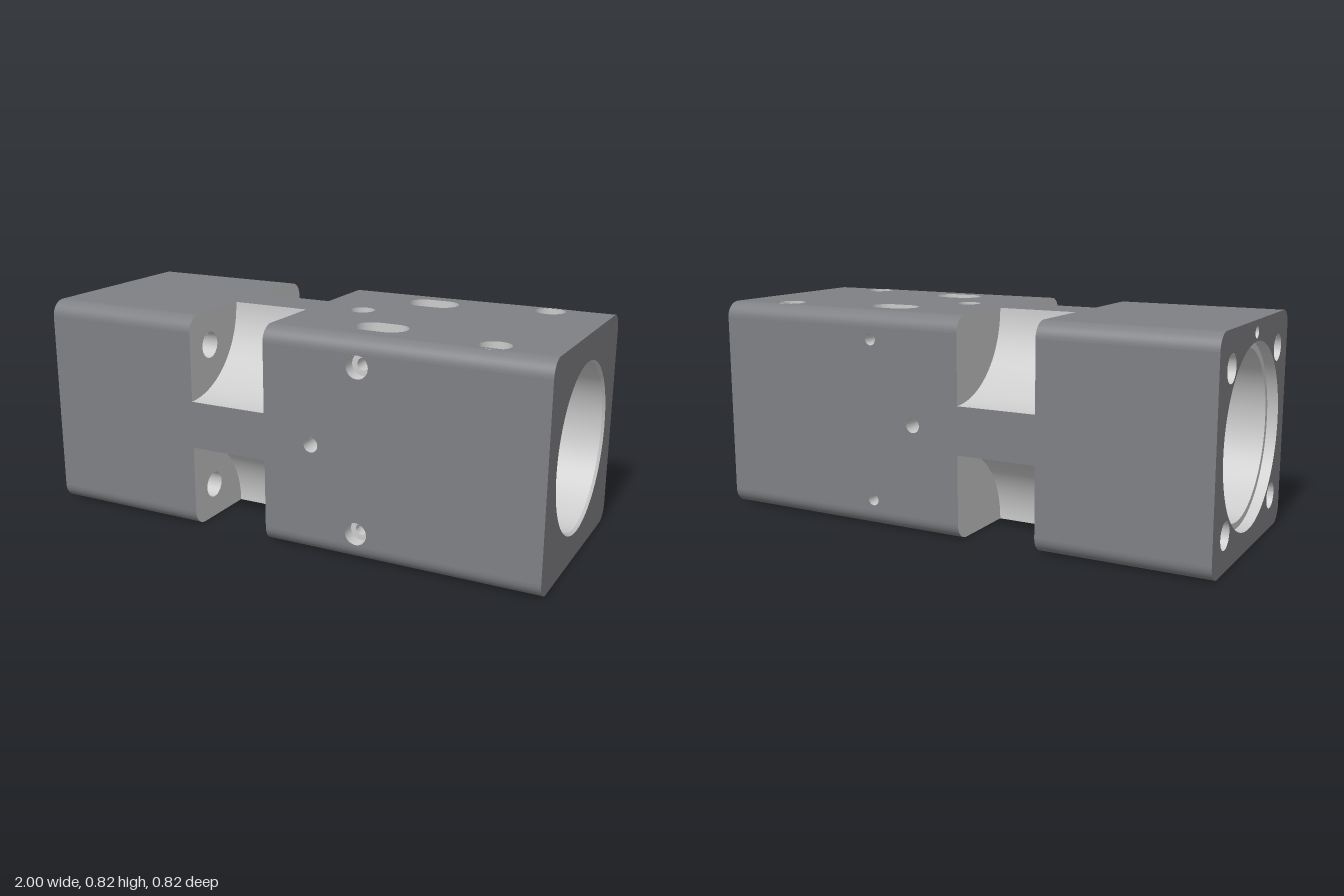
import * as THREE from 'three';

const H = 0.41;            // half height and half depth of the block
const C = 0.06;            // corner radius of the block
const NA = -0.36, NB = -0.05, NW = 0.09; // notch ends and half width of the web
const R = 0.303;           // main bore radius
const SLOT = { x: 0.33, s: 0.235, l: 0.035, r: 0.065 };
const SIDE = { x: 0.32, s: 0.305, r: 0.022 };   // cross screws, front to back
const VERT = { x: 0.77, s: 0.305, r: 0.031 };   // clamp screws, top to bottom
const BOLT = 0.28;
const TAU = Math.PI * 2;

// Surface from a rule f(u, v) -> [x, y, z]
function grid(nu, nv, f) {
  const pos = [], idx = [];
  for (let i = 0; i <= nu; i++) for (let j = 0; j <= nv; j++) pos.push(...f(i / nu, j / nv));
  for (let i = 0; i < nu; i++) for (let j = 0; j < nv; j++) {
    const a = i * (nv + 1) + j, b = a + nv + 1;
    idx.push(a, b, a + 1, b, b + 1, a + 1);
  }
  const g = new THREE.BufferGeometry();
  g.setAttribute('position', new THREE.Float32BufferAttribute(pos, 3));
  g.setIndex(idx);
  g.computeVertexNormals();
  return g;
}

const circle = (x, y, r) => new THREE.Path().absarc(x, y, r, 0, TAU, true);
const shape = (pts) => new THREE.Shape(pts.map(([x, y]) => new THREE.Vector2(x, y)));
const boreEdge = (u) => Math.sqrt(Math.max(0, R * R - u * u));

function slotPath(s) {
  const p = new THREE.Path();
  p.absarc(SLOT.x + SLOT.l, s, SLOT.r, -Math.PI / 2, Math.PI / 2, false);
  p.absarc(SLOT.x - SLOT.l, s, SLOT.r, Math.PI / 2, Math.PI * 1.5, false);
  p.closePath();
  return p;
}

export function createModel() {
  const model = new THREE.Group();
  const block = new THREE.Group();
  block.name = 'block';
  block.position.y = H;
  model.add(block);
  const dark = new THREE.MeshStandardMaterial({ color: 0x7f8084, side: THREE.DoubleSide });
  const bare = new THREE.MeshStandardMaterial({ color: 0xcccccc, side: THREE.DoubleSide });
  const add = (parent, name, geo, mat = bare) => {
    const m = new THREE.Mesh(geo, mat);
    m.name = name;
    parent.add(m);
    return m;
  };

  // Round wall running inwards from depth z0 to z1 (number or rule of the height s)
  const wall = (parent, name, x, s, r, z0, z1) => add(parent, name, grid(32, 1, (u, v) => {
    const y = s + r * Math.sin(u * TAU);
    const end = typeof z1 === 'function' ? z1(y) : z1;
    return [x + r * Math.cos(u * TAU), y, z0 + (end - z0) * v];
  }));
  const ring = (parent, name, x, s, r0, r1, z) =>
    add(parent, name, new THREE.RingGeometry(r0, r1, 32)).position.set(x, s, z);
  const blind = (parent, name, x, s, r, z0, z1) => {
    wall(parent, name, x, s, r, z0, z1);
    add(parent, name + 'Floor', new THREE.CircleGeometry(r, 32)).position.set(x, s, z1);
  };

  // Four side panels, each with its own drilled holes
  ['front', 'top', 'back', 'bottom'].forEach((side, k) => {
    const g = new THREE.Group();
    g.name = side + 'Side';
    g.rotation.x = -k * Math.PI / 2;
    block.add(g);
    const e = H - C;
    const panel = shape([[-1, -e], [NA, -e], [NA, -NW], [NB, -NW], [NB, -e], [1, -e],
      [1, e], [NB, e], [NB, NW], [NA, NW], [NA, e], [-1, e]]);
    const upright = k % 2 === 1;
    const screw = upright ? VERT : SIDE;
    const head = k === 0 ? 0.042 : k === 1 ? 0.057 : screw.r;
    const floor = H - (k < 2 ? 0.05 : 0);
    for (const m of [-1, 1]) {
      const s = m * screw.s;
      panel.holes.push(circle(screw.x, s, head));
      if (k < 2) {
        wall(g, 'counterbore', screw.x, s, head, H, floor);
        ring(g, 'counterboreFloor', screw.x, s, screw.r, head, floor);
      }
      if (upright) {
        wall(g, 'clampScrewHole', screw.x, s, screw.r, floor, boreEdge);
        // Long slot opening into the bore
        panel.holes.push(slotPath(m * SLOT.s));
        for (const d of [-1, 1]) {
          add(g, 'slotEnd', grid(24, 1, (u, v) => {
            const a = (u - 0.5) * Math.PI, y = m * SLOT.s + SLOT.r * Math.sin(a);
            return [SLOT.x + d * (SLOT.l + SLOT.r * Math.cos(a)), y, H + (boreEdge(y) - H) * v];
          }));
          const w = SLOT.s + d * SLOT.r, x0 = SLOT.x - SLOT.l, x1 = SLOT.x + SLOT.l, z = boreEdge(w);
          const flat = shape([[x0, z], [x1, z], [x1, H], [x0, H]]);
          flat.holes.push(circle(SIDE.x, SIDE.s, SIDE.r));
          const f = add(g, 'slotWall', new THREE.ShapeGeometry(flat, 24).rotateX(Math.PI / 2)
            .scale(1, 1, 1));
          f.position.y = m * w;
        }
      } else {
        // Cross screw hole, interrupted by the slot
        wall(g, 'crossScrewHole', screw.x, s, screw.r, floor, SLOT.s + SLOT.r);
        wall(g, 'crossScrewHole', screw.x, s, screw.r, SLOT.s - SLOT.r, boreEdge);
      }
    }
    // Middle hole on every side but the bottom
    if (k === 1) {
      panel.holes.push(circle(0.14, 0, 0.047));
      wall(g, 'middleCounterbore', 0.14, 0, 0.047, H, H - 0.05);
      ring(g, 'middleCounterboreFloor', 0.14, 0, 0.02, 0.047, H - 0.05);
      blind(g, 'middleHole', 0.14, 0, 0.02, H - 0.05, H - 0.1);
    } else if (k !== 3) {
      panel.holes.push(circle(0.14, 0, 0.028));
      blind(g, 'middleHole', 0.14, 0, 0.028, H, H - 0.09);
    }
    add(g, 'panel', new THREE.ShapeGeometry(panel, 24).translate(0, 0, H), dark);

    // Rounded long edge on both sides of the notch
    for (const [a, b] of [[-1, NA], [NB, 1]]) {
      add(g, 'roundedEdge', grid(12, 1, (u, v) => [a + (b - a) * v,
        e + C * Math.sin(u * Math.PI / 2), e + C * Math.cos(u * Math.PI / 2)]), dark);
    }
    // Corner notch: hollow floor and two flat ends
    const nr = H - NW;
    add(g, 'notchFloor', grid(32, 1, (u, v) => [NA + (NB - NA) * v,
      H - nr * Math.cos(u * Math.PI / 2), H - nr * Math.sin(u * Math.PI / 2)]));
    for (const x of [NA, NB]) {
      const end = new THREE.Shape();
      end.moveTo(-H, NW);
      end.lineTo(-H, e);
      end.absarc(-e, e, C, Math.PI, Math.PI / 2, true);
      end.lineTo(-NW, H);
      end.absarc(-H, H, nr, 0, -Math.PI / 2, true);
      if (x === NA) end.holes.push(circle(-BOLT, BOLT, 0.05));
      add(g, 'notchEnd', new THREE.ShapeGeometry(end, 24).rotateY(Math.PI / 2)).position.x = x;
    }
    // Long bolt hole from the left end into the notch
    add(g, 'boltHole', grid(32, 1, (u, v) => [-1 + (NA + 1) * v,
      BOLT + 0.05 * Math.cos(u * TAU), BOLT + 0.05 * Math.sin(u * TAU)]));
  });

  // End faces
  for (const d of [-1, 1]) {
    const e = H - C, end = new THREE.Shape();
    for (let i = 0; i < 4; i++) {
      const a = i * Math.PI / 2, m = a + Math.PI / 4;
      end.absarc(e * Math.SQRT2 * Math.cos(m), e * Math.SQRT2 * Math.sin(m), C, a, a + Math.PI / 2, false);
    }
    end.holes.push(circle(0, 0, d > 0 ? 0.312 : 0.335));
    if (d < 0) {
      for (const y of [-BOLT, BOLT]) for (const z of [-BOLT, BOLT]) end.holes.push(circle(z, y, 0.05));
      end.holes.push(circle(0, 0.367, 0.022));
    }
    add(block, 'endFace', new THREE.ShapeGeometry(end, 48).rotateY(d * Math.PI / 2), dark).position.x = d;
  }
  const pin = new THREE.Group();
  pin.name = 'pinHole';
  pin.rotation.y = -Math.PI / 2;
  block.add(pin);
  blind(pin, 'pinHole', 0, 0.367, 0.022, 1, 0.9);

  // Bore steps: radius and x, sharp between segments
  const bore = [[0.312, 1], [R, 0.99], [R, 0.2], [0.217, 0.2], [0.217, -0.45],
    [0.31, -0.45], [0.31, -0.96], [0.335, -0.96], [0.335, -1]];
  for (let i = 0; i < bore.length - 1; i++) {
    if (i === 1) continue; // the pierced wall is made below
    const pts = [bore[i], bore[i + 1]].map(([r, x]) => new THREE.Vector2(r, x));
    add(block, 'boreStep', new THREE.LatheGeometry(pts, 96).rotateZ(-Math.PI / 2));
  }

  // Pierced bore wall: strips that part around slots and screw holes
  const chord = (r, d) => Math.sqrt(Math.max(0, r * r - d * d));
  const cuts = (y, z) => {
    const ds = Math.abs(z) - SLOT.s;
    const inSlot = Math.abs(ds) < SLOT.r;
    const h1 = inSlot ? SLOT.l + chord(SLOT.r, ds) : chord(SIDE.r, Math.abs(y) - SIDE.s);
    const c1 = inSlot ? SLOT.x : SIDE.x;
    const h2 = chord(VERT.r, Math.abs(z) - VERT.s);
    return [0.2, c1 - h1, c1 + h1, VERT.x - h2, VERT.x + h2, 0.99];
  };
  for (const n of [0, 2, 4]) {
    add(block, 'boreWall', grid(720, 1, (u, v) => {
      const y = R * Math.cos(u * TAU), z = R * Math.sin(u * TAU);
      return [cuts(y, z)[n + v], y, z];
    }));
  }
  return model;
}
